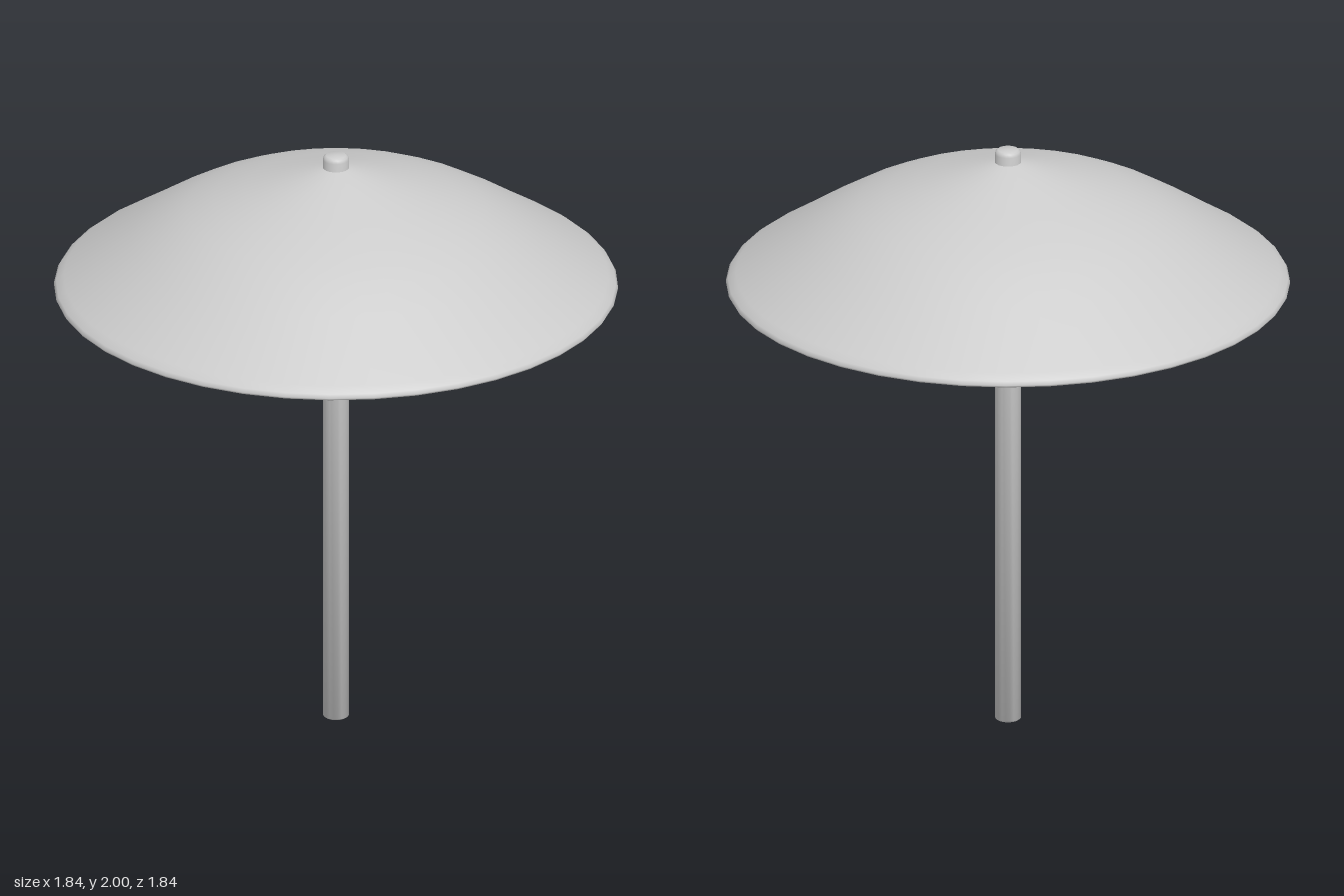
import * as THREE from 'three';
import { toCreasedNormals } from 'three/addons/utils/BufferGeometryUtils.js';

const material = new THREE.MeshStandardMaterial({ color: 0xcccccc, side: THREE.DoubleSide });

// Turns a [radius, height] profile around the y axis
function turned(name, profile, sides, crease) {
  const points = profile.map(([r, y]) => new THREE.Vector2(r, y));
  const lathe = new THREE.LatheGeometry(points, sides);
  const mesh = new THREE.Mesh(crease ? toCreasedNormals(lathe, crease) : lathe, material);
  mesh.name = name;
  return mesh;
}

export function createModel() {
  const group = new THREE.Group();
  group.name = 'parasol';

  // Pole with a softly bevelled tip showing above the canopy
  group.add(turned('pole', [
    [0, 0], [0.038, 0], [0.043, 0.005], [0.043, 1.985], [0.04, 1.995], [0.033, 2], [0, 2],
  ], 20, 0.9));

  // Thin canopy shell: underside, rounded lip, then outer surface up to the pole
  group.add(turned('canopy', [
    [0.03, 1.93], [0.2, 1.882], [0.39, 1.82], [0.55, 1.745], [0.75, 1.61], [0.82, 1.555],
    [0.845, 1.53], [0.865, 1.523], [0.905, 1.523], [0.918, 1.528], [0.922, 1.535], [0.915, 1.547],
    [0.89, 1.567], [0.78, 1.638], [0.67, 1.711], [0.57, 1.771], [0.49, 1.81], [0.4, 1.846],
    [0.3, 1.879], [0.2, 1.909], [0.04, 1.957], [0, 1.96],
  ], 40));

  return group;
}
